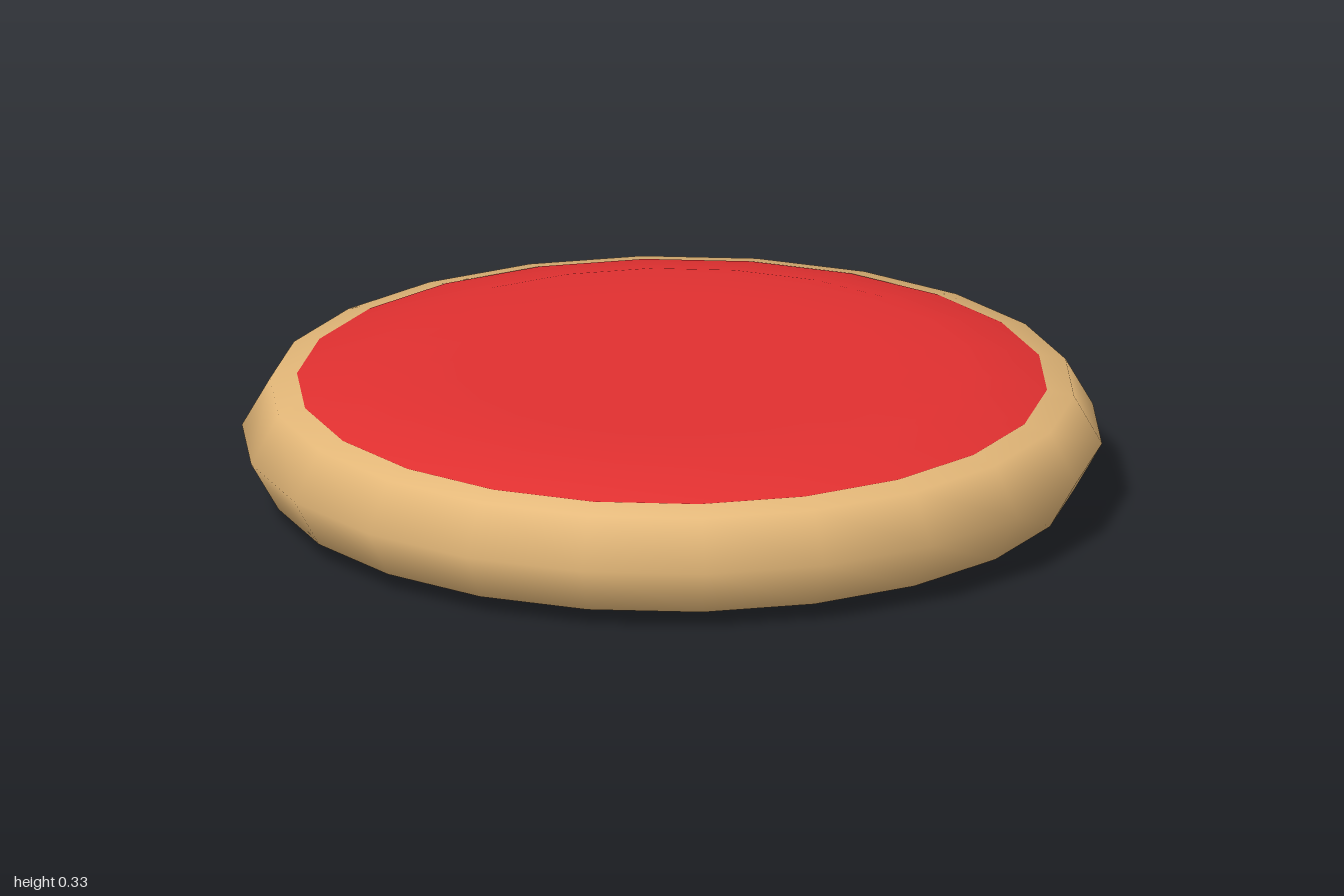
import * as THREE from 'three';

const SIDES = 22;

// Smooth, low-poly round part turned from [radius, height] pairs, listed bottom to top
function turned(name, color, profile) {
  const points = profile.map(([r, y]) => new THREE.Vector2(r, y));
  const geometry = new THREE.LatheGeometry(points, SIDES, Math.PI / 2);
  const mesh = new THREE.Mesh(geometry, new THREE.MeshStandardMaterial({ color }));
  mesh.name = name;
  return mesh;
}

export function createModel() {
  const group = new THREE.Group();
  group.name = 'pizzaBase';

  // Dough: flat underside, bulging rim, closed under the sauce
  group.add(turned('dough', 0xe3b778, [
    [0, 0], [0.55, 0], [0.75, 0], [0.935, 0.042], [1, 0.157],
    [0.935, 0.272], [0.75, 0.311], [0, 0.311],
  ]));

  // Sauce: shallow disc with a bevelled edge sunk into the dough
  group.add(turned('sauce', 0xe03030, [
    [0, 0.27], [0.86, 0.27], [0.872, 0.286], [0.69, 0.326], [0.5, 0.326], [0, 0.326],
  ]));

  return group;
}
